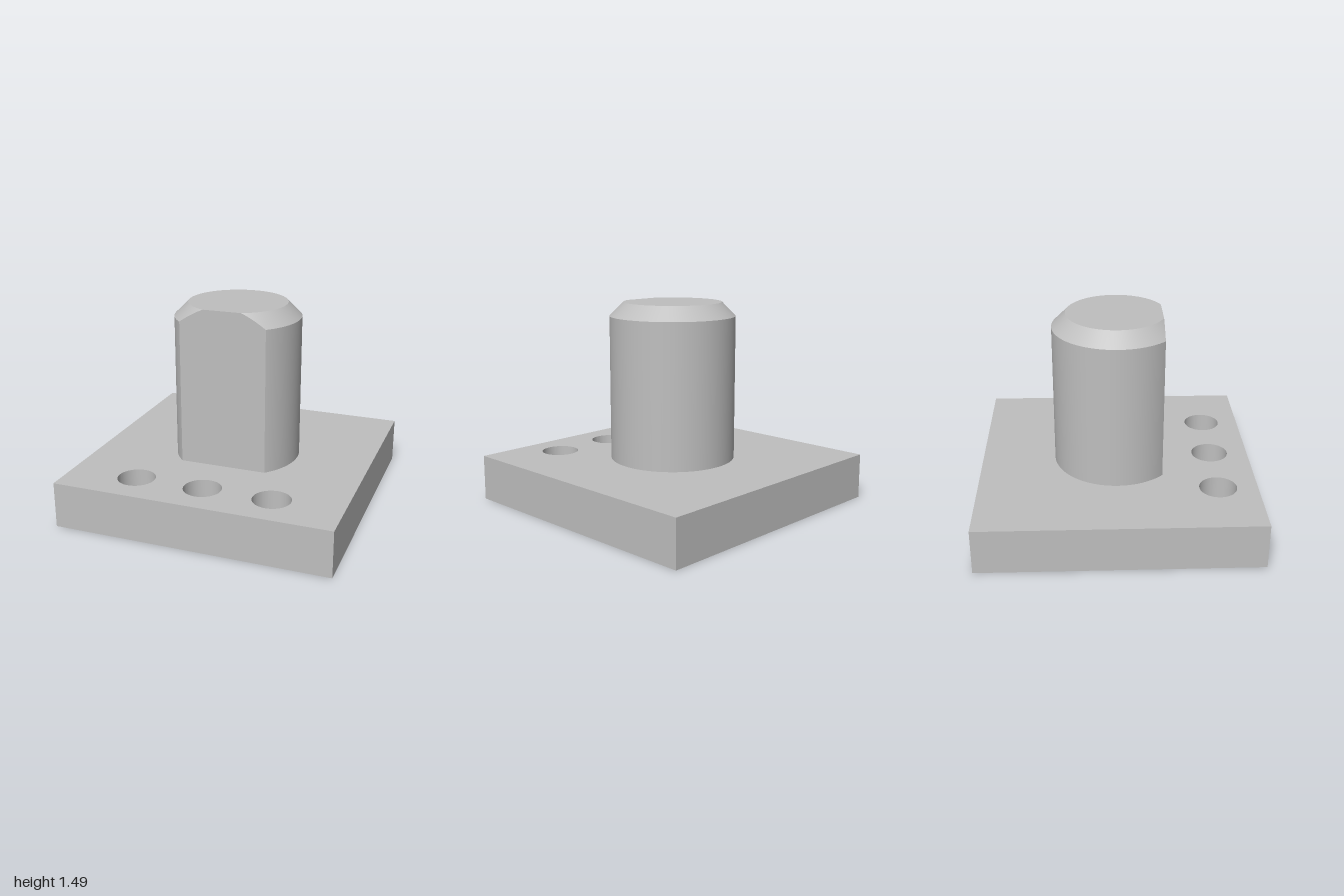
import * as THREE from 'three';
import { toCreasedNormals } from 'three/addons/utils/BufferGeometryUtils.js';
import { ParametricGeometry } from 'three/addons/geometries/ParametricGeometry.js';

const BASE_H = 0.333, SHOULDER = 1.385, TOP = 1.485; // heights
const R = 0.458, R_TOP = 0.358, FLAT = 0.33;         // post radii and flat position

// Half width of the flat where the post has radius r
const halfWidth = (r) => Math.sqrt(r * r - FLAT * FLAT);

// Round surface between two radii and heights, left open where the flat cuts it
function cutRound(r0, y0, r1, y1, rings) {
  return new ParametricGeometry((u, v, p) => {
    const r = THREE.MathUtils.lerp(r0, r1, v);
    const a = Math.acos(FLAT / r);
    const phi = a + u * 2 * (Math.PI - a);
    p.set(r * Math.sin(phi), THREE.MathUtils.lerp(y0, y1, v), r * Math.cos(phi));
  }, 96, rings);
}

export function createModel() {
  const group = new THREE.Group();
  const grey = new THREE.MeshStandardMaterial({ color: 0xbfbfbf });
  grey.name = 'grey';

  const add = (name, geometry, parent) => {
    const mesh = new THREE.Mesh(geometry, grey);
    mesh.name = name;
    parent.add(mesh);
  };

  // Square base plate with a row of three through holes near the front
  const plate = new THREE.Shape([[-1, -1], [1, -1], [1, 1], [-1, 1]].map(([x, y]) => new THREE.Vector2(x, y)));
  for (const x of [-0.5, 0, 0.5]) {
    plate.holes.push(new THREE.Path().absarc(x, -0.715, 0.135, 0, Math.PI * 2, true));
  }
  const base = new THREE.ExtrudeGeometry(plate, { depth: BASE_H, bevelEnabled: false, curveSegments: 48 });
  base.rotateX(-Math.PI / 2);
  add('basePlate', toCreasedNormals(base, 0.6), group);

  // Round post with a chamfered top and one flat on the front
  const post = new THREE.Group();
  post.name = 'post';
  group.add(post);
  add('postWall', cutRound(R, BASE_H, R, SHOULDER, 1), post);
  add('postChamfer', cutRound(R, SHOULDER, R_TOP, TOP, 12), post);

  // Top cap: a disc cut straight along the flat
  const a = Math.acos(FLAT / R_TOP);
  const cap = new THREE.Shape().absarc(0, 0, R_TOP, -Math.PI / 2 + a, 1.5 * Math.PI - a, false);
  const capGeometry = new THREE.ShapeGeometry(cap, 96);
  capGeometry.rotateX(-Math.PI / 2).translate(0, TOP, 0);
  add('postTop', capGeometry, post);

  // Flat face, its upper corners following the curve the flat cuts in the chamfer
  const right = [new THREE.Vector2(halfWidth(R), BASE_H)];
  for (let i = 0; i <= 12; i++) {
    const t = i / 12;
    right.push(new THREE.Vector2(
      halfWidth(THREE.MathUtils.lerp(R, R_TOP, t)), THREE.MathUtils.lerp(SHOULDER, TOP, t)));
  }
  const left = right.map((p) => new THREE.Vector2(-p.x, p.y)).reverse();
  const face = new THREE.ShapeGeometry(new THREE.Shape([...right, ...left]));
  add('postFlat', face.translate(0, 0, FLAT), post);

  return group;
}
